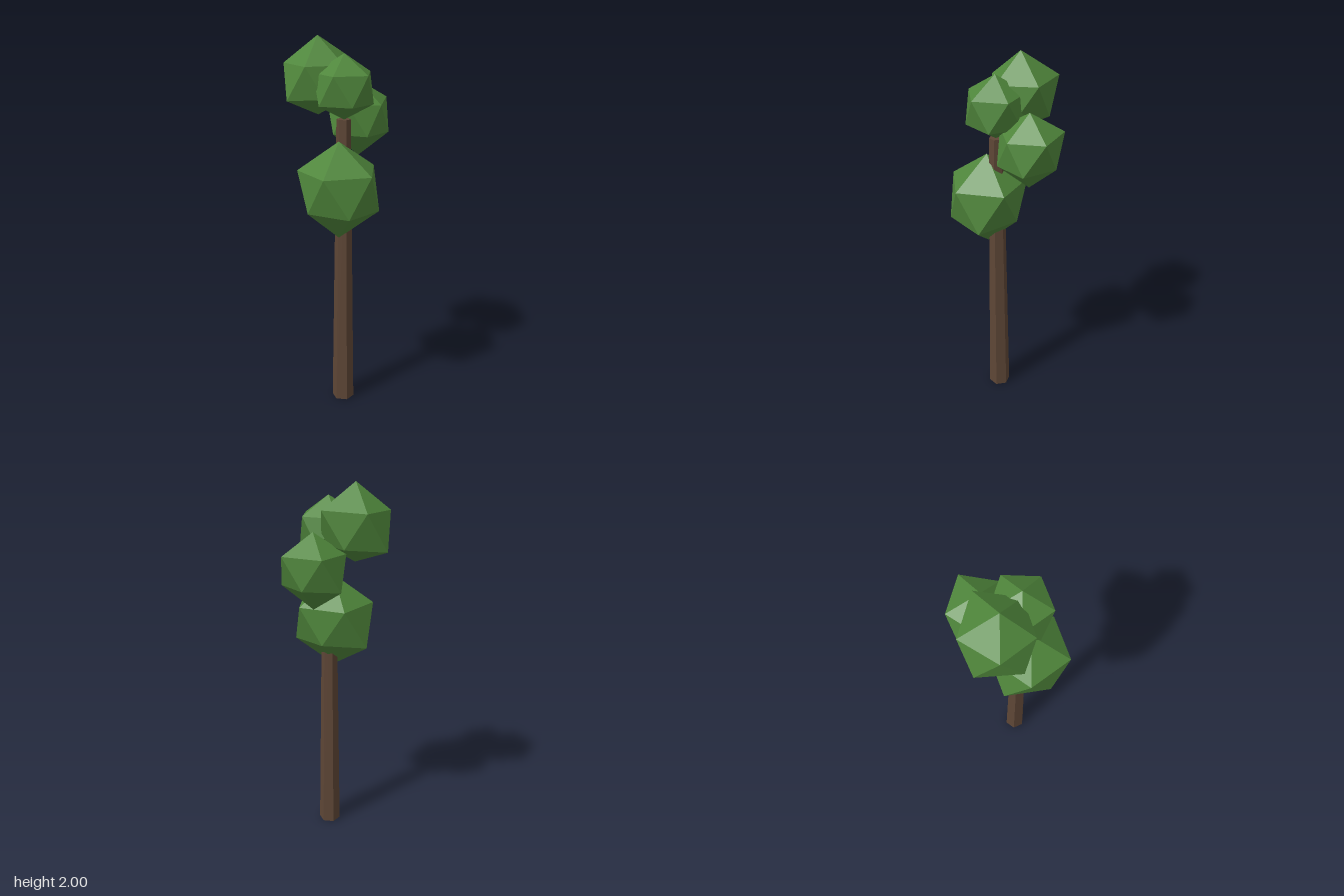
import * as THREE from 'three';

// Upright icosahedron whose corners are pushed in or out from the centre.
// upper / lower: horizontal reach of each ring corner, turning from +x towards +z.
function clumpGeometry(top, upper, lower, bottom) {
  const pos = [0, top, 0];
  upper.forEach((r, i) => {
    const a = (i * 2 * Math.PI) / 5;
    pos.push(r * Math.cos(a), r / 2, r * Math.sin(a));
  });
  lower.forEach((r, i) => {
    const a = ((i + 0.5) * 2 * Math.PI) / 5;
    pos.push(r * Math.cos(a), -r / 2, r * Math.sin(a));
  });
  pos.push(0, -bottom, 0);

  const index = [];
  for (let i = 0; i < 5; i++) {
    const j = (i + 1) % 5;
    const u = 1 + i, un = 1 + j, l = 6 + i, ln = 6 + j;
    index.push(0, un, u, u, un, l, l, un, ln, 11, l, ln);
  }
  const indexed = new THREE.BufferGeometry();
  indexed.setAttribute('position', new THREE.Float32BufferAttribute(pos, 3));
  indexed.setIndex(index);
  const geometry = indexed.toNonIndexed();
  geometry.computeVertexNormals();
  return geometry;
}

export function createModel() {
  const group = new THREE.Group();
  group.name = 'tree';

  const bark = new THREE.MeshStandardMaterial({ color: 0x5e4636, flatShading: true });
  bark.name = 'bark brown';
  const leaf = new THREE.MeshStandardMaterial({ color: 0x4f863b, flatShading: true });
  leaf.name = 'leaf green';

  // Tapered six-sided trunk
  const height = 1.595;
  const trunk = new THREE.Mesh(new THREE.CylinderGeometry(0.037, 0.06, height, 6), bark);
  trunk.name = 'trunk';
  trunk.position.set(0.069, height / 2, 0.05);
  group.add(trunk);

  // Foliage clumps
  const clumps = [
    { name: 'topFoliage', at: [-0.097, 1.776, 0.053], top: 0.224, bottom: 0.175,
      upper: [0.17, 0.165, 0.174, 0.193, 0.203], lower: [0.155, 0.184, 0.2, 0.165, 0.17] },
    { name: 'crownFoliage', at: [0.073, 1.746, 0.05], top: 0.174, bottom: 0.153,
      upper: [0.149, 0.152, 0.155, 0.155, 0.157], lower: [0.148, 0.15, 0.15, 0.15, 0.148] },
    { name: 'frontFoliage', at: [0.085, 1.234, 0.108], top: 0.258, bottom: 0.255,
      upper: [0.21, 0.211, 0.213, 0.21, 0.218], lower: [0.199, 0.187, 0.225, 0.178, 0.209] },
    { name: 'backFoliage', at: [0.02, 1.577, -0.138], top: 0.19, bottom: 0.207,
      upper: [0.147, 0.165, 0.165, 0.173, 0.181], lower: [0.16, 0.16, 0.178, 0.149, 0.16] },
  ];
  for (const c of clumps) {
    const mesh = new THREE.Mesh(clumpGeometry(c.top, c.upper, c.lower, c.bottom), leaf);
    mesh.name = c.name;
    mesh.position.set(...c.at);
    group.add(mesh);
  }
  return group;
}
